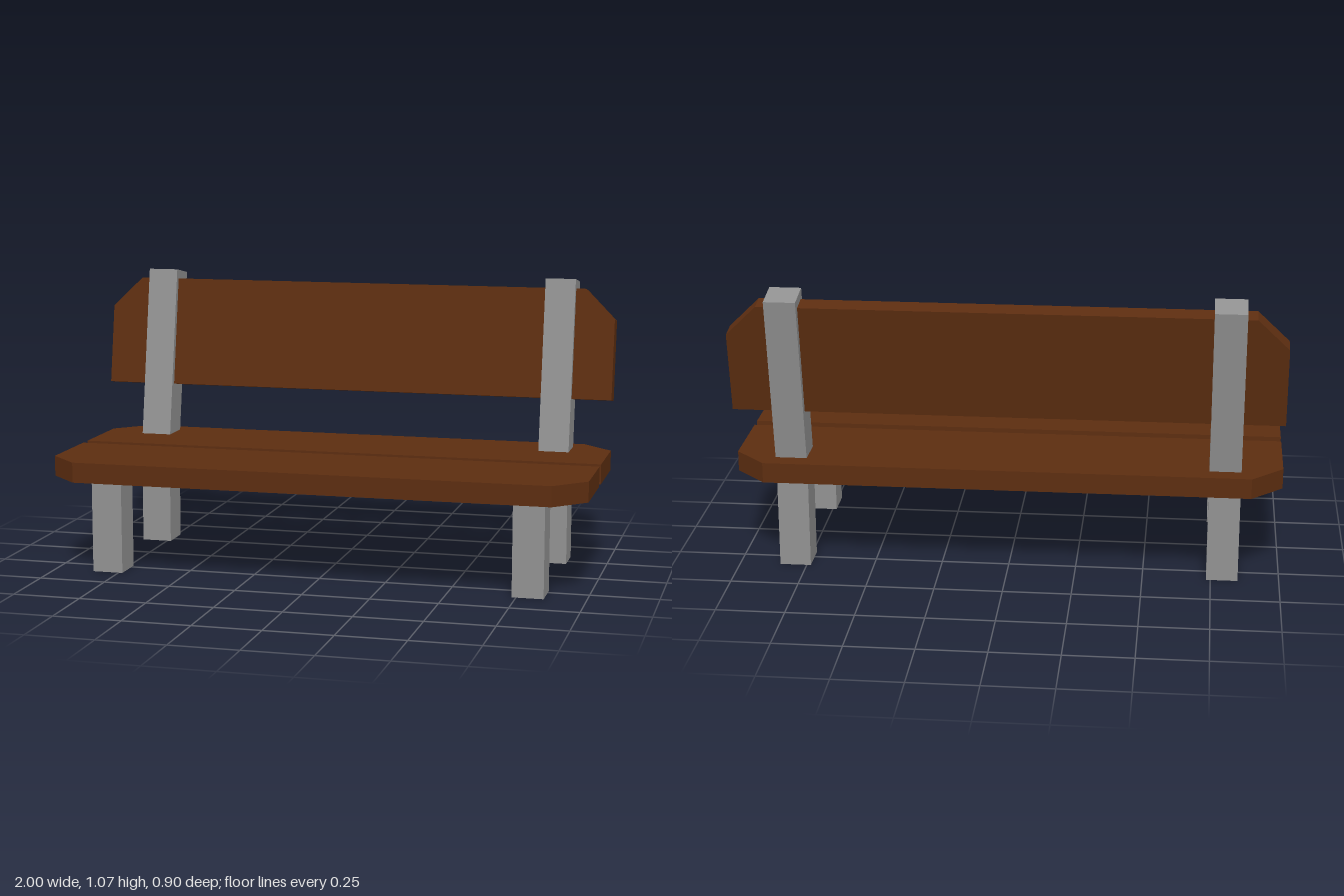
import * as THREE from 'three';

const TILT = THREE.MathUtils.degToRad(-10);

// Board lying in XY with its two upper corners cut off
function plankGeometry(height, thickness) {
  const cut = 0.114;
  const shape = new THREE.Shape([
    [-1, 0], [1, 0], [1, height - cut], [1 - cut, height], [cut - 1, height], [-1, height - cut],
  ].map(([x, y]) => new THREE.Vector2(x, y)));
  return new THREE.ExtrudeGeometry(shape, { depth: thickness, bevelEnabled: false });
}

export function createModel() {
  const wood = new THREE.MeshStandardMaterial({ color: 0x5c2d10 });
  wood.name = 'brown wood';
  const stone = new THREE.MeshStandardMaterial({ color: 0x919191 });
  stone.name = 'grey post';

  const bench = new THREE.Group();
  bench.name = 'bench';

  function add(name, geometry, material, x, y, z, tilt = 0) {
    const mesh = new THREE.Mesh(geometry, material);
    mesh.name = name;
    mesh.position.set(x, y, z);
    mesh.rotation.x = tilt;
    bench.add(mesh);
  }

  // Seat boards, cut corners facing outwards
  const seat = plankGeometry(0.404, 0.075);
  add('frontSeatBoard', seat, wood, 0, 0.43, 0.045, Math.PI / 2);
  add('rearSeatBoard', seat, wood, 0, 0.355, 0, -Math.PI / 2);

  // Leaning backrest board
  add('backrestBoard', plankGeometry(0.418, 0.072), wood, 0, 0.613, -0.342, TILT);

  // Legs and leaning backrest posts, mirrored
  const leg = new THREE.BoxGeometry(0.115, 0.357, 0.123);
  const post = new THREE.BoxGeometry(0.115, 0.66, 0.122);
  post.translate(0, -0.33, 0);
  for (const [side, sign] of [['left', 1], ['right', -1]]) {
    const x = sign * 0.792;
    add(side + 'FrontLeg', leg, stone, x, 0.1785, 0.289);
    add(side + 'RearLeg', leg, stone, x, 0.1785, -0.267);
    add(side + 'BackrestPost', post, stone, x, 1.064, -0.388, TILT);
  }
  return bench;
}
